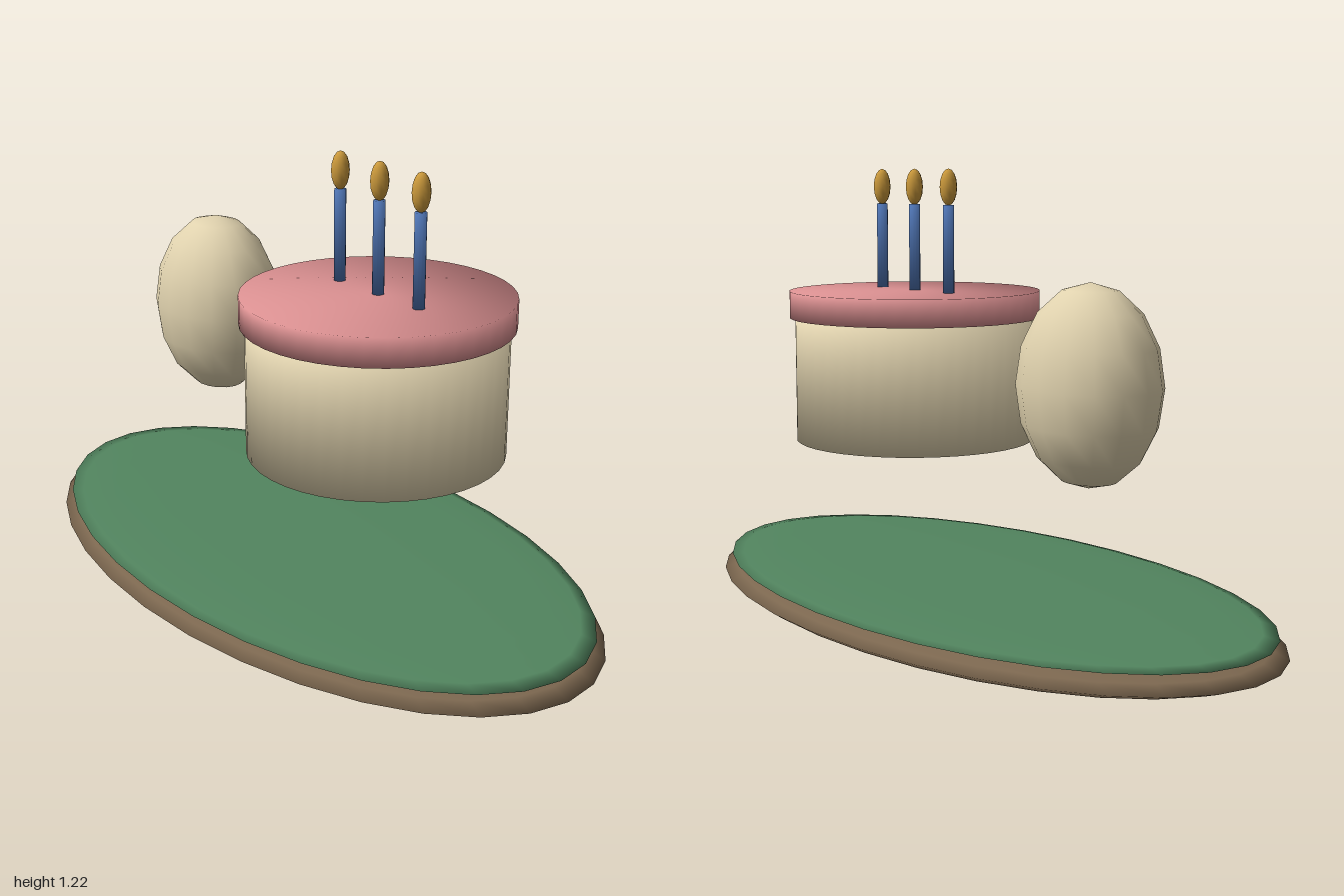
import * as THREE from 'three';

const paint = (color) => new THREE.MeshStandardMaterial({ color });
const cream = paint(0xe0d2ae), pink = paint(0xd98f90), blue = paint(0x4d72b0);
const gold = paint(0xcc9a3c), green = paint(0x52855f), brown = paint(0x7d6850);

// Smooth ellipsoid given by its centre and half sizes
function ellipsoid(name, material, centre, radii, around, rings) {
  const geometry = new THREE.SphereGeometry(1, around, rings).scale(...radii);
  const mesh = new THREE.Mesh(geometry, material);
  mesh.name = name;
  mesh.position.set(...centre);
  return mesh;
}

// Upright closed cylinder whose shading runs softly over the rim
function softCylinder(name, material, x, bottom, top, radius, sides) {
  const geometry = new THREE.CylinderGeometry(radius, radius, top - bottom, sides);
  const { position, normal } = geometry.attributes;
  const n = new THREE.Vector3();
  for (let i = 0; i < position.count; i++) {
    n.set(position.getX(i) / radius, Math.sign(position.getY(i)), position.getZ(i) / radius).normalize();
    normal.setXYZ(i, n.x, n.y, n.z);
  }
  const mesh = new THREE.Mesh(geometry, material);
  mesh.name = name;
  mesh.position.set(x, (bottom + top) / 2, 0);
  return mesh;
}

export function createModel() {
  const model = new THREE.Group();
  model.name = 'cakeAndEggOverBase';

  // Oval base with a thin green top
  model.add(ellipsoid('base', brown, [0, 0.06, 0], [1, 0.058, 0.546], 32, 10));
  model.add(ellipsoid('grass', green, [0, 0.104, 0], [0.973, 0.018, 0.526], 32, 10));

  // Floating egg
  model.add(ellipsoid('egg', cream, [-0.44, 0.687, 0], [0.205, 0.258, 0.168], 16, 8));

  // Floating cake with icing
  const cakeX = 0.283;
  const cake = new THREE.Group();
  cake.name = 'cake';
  cake.add(softCylinder('sponge', cream, cakeX, 0.465, 0.81, 0.337, 40));
  cake.add(softCylinder('icing', pink, cakeX, 0.81, 0.885, 0.352, 40));

  // Row of three candles with flames
  for (const offset of [-0.155, 0, 0.155]) {
    const candle = new THREE.Group();
    candle.name = 'candle';
    candle.add(softCylinder('wax', blue, cakeX + offset, 0.88, 1.125, 0.0155, 12));
    candle.add(ellipsoid('flame', gold, [cakeX + offset, 1.173, 0], [0.024, 0.05, 0.024], 12, 8));
    cake.add(candle);
  }
  model.add(cake);
  return model;
}
